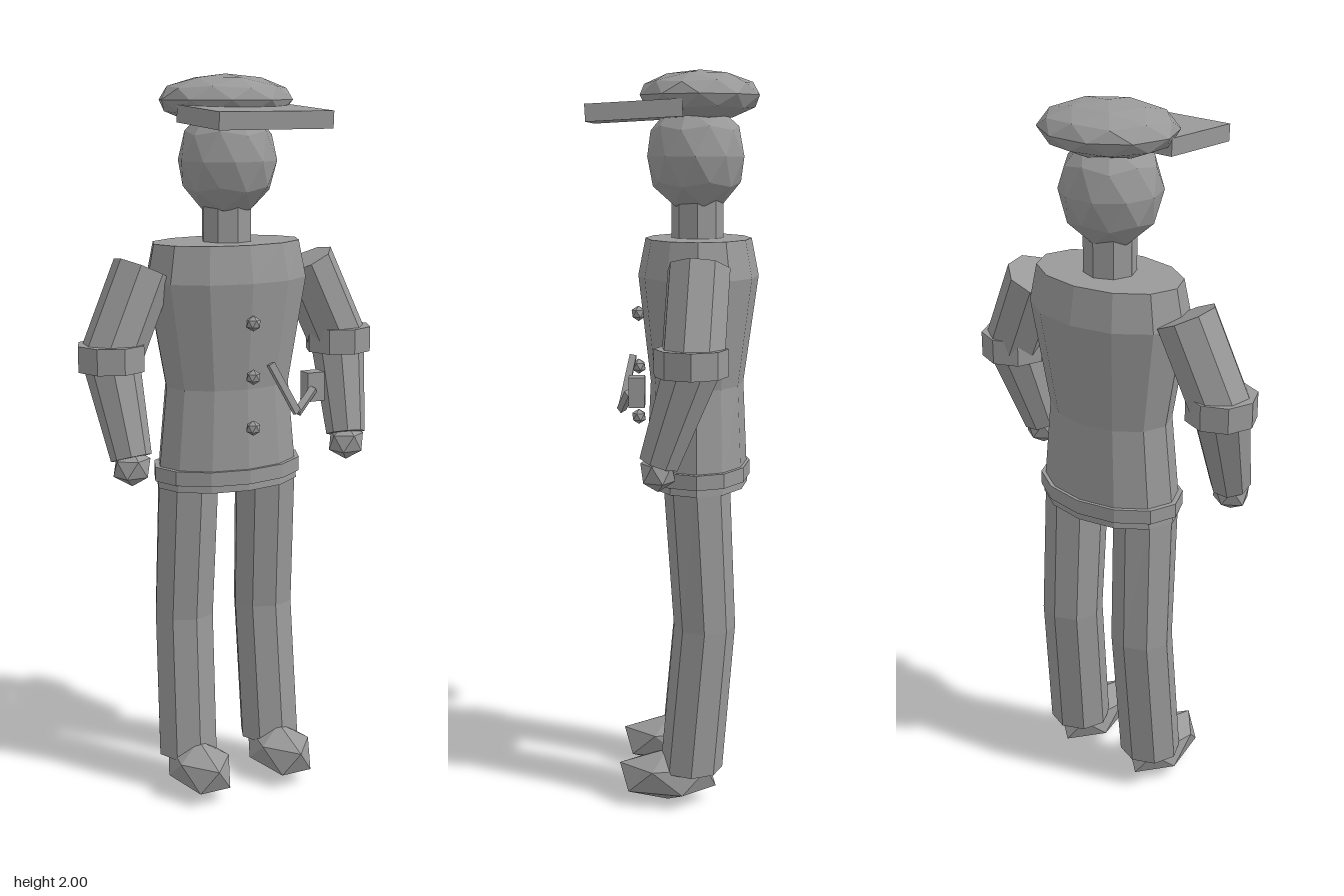
import * as THREE from 'three';

const grey = new THREE.MeshStandardMaterial({ color: 0x999999, flatShading: true });
grey.name = 'plain grey';

function add(parent, name, geometry, x = 0, y = 0, z = 0) {
  const mesh = new THREE.Mesh(geometry, grey);
  mesh.name = name;
  mesh.position.set(x, y, z);
  parent.add(mesh);
  return mesh;
}

// Faceted ball with one vertex at the top and one at the bottom
function ball(rx, ry, rz, detail = 0) {
  return new THREE.IcosahedronGeometry(1, detail)
    .rotateZ(Math.atan(2 / (1 + Math.sqrt(5))))
    .rotateY(Math.PI / 2)
    .scale(rx, ry, rz);
}

// Straight tapered rod from point a to point b
function rod(parent, name, a, b, ra, rb, sides = 8) {
  const from = new THREE.Vector3(...a), to = new THREE.Vector3(...b);
  const dir = to.clone().sub(from);
  const mesh = add(parent, name, new THREE.CylinderGeometry(rb, ra, dir.length(), sides));
  mesh.position.copy(from).add(to).multiplyScalar(0.5);
  mesh.quaternion.setFromUnitVectors(new THREE.Vector3(0, 1, 0), dir.normalize());
  return mesh;
}

// Closed body through horizontal elliptical rings [x, y, z, rx, rz], bottom to top
function loft(rings, sides) {
  const pos = [], index = [];
  for (const [x, y, z, rx, rz] of rings)
    for (let i = 0; i < sides; i++) {
      const a = (i / sides) * Math.PI * 2;
      pos.push(x + Math.sin(a) * rx, y, z + Math.cos(a) * rz);
    }
  const last = (rings.length - 1) * sides;
  for (let r = 0; r < last; r += sides)
    for (let i = 0; i < sides; i++) {
      const j = (i + 1) % sides;
      index.push(r + i, r + j, r + sides + j, r + i, r + sides + j, r + sides + i);
    }
  for (let i = 1; i < sides - 1; i++) {
    index.push(0, i + 1, i);
    index.push(last, last + i, last + i + 1);
  }
  const g = new THREE.BufferGeometry();
  g.setAttribute('position', new THREE.Float32BufferAttribute(pos, 3));
  g.setIndex(index);
  g.computeVertexNormals();
  return g;
}

export function createModel() {
  const model = new THREE.Group();
  model.name = 'uniformedFigure';

  // Jacket with its hem band
  add(model, 'jacket', loft([
    [0, 0.89, -0.06, 0.212, 0.14],
    [0, 1.17, -0.06, 0.183, 0.127],
    [0, 1.46, -0.063, 0.235, 0.163],
    [0, 1.56, -0.063, 0.215, 0.143],
  ], 12));
  add(model, 'hemBand', loft([
    [0, 0.91, -0.06, 0.22, 0.146],
    [0, 0.95, -0.06, 0.22, 0.146],
  ], 12));
  for (const y of [1.07, 1.21, 1.355]) add(model, 'button', ball(0.021, 0.021, 0.021), 0, y, 0.1);

  // Chain hanging to a small pocket case
  add(model, 'pocketCase', new THREE.BoxGeometry(0.052, 0.08, 0.042), 0.184, 1.17, 0.097);
  rod(model, 'chain', [0.045, 1.245, 0.113], [0.112, 1.11, 0.142], 0.013, 0.013, 4);
  rod(model, 'chain', [0.112, 1.11, 0.142], [0.175, 1.165, 0.118], 0.013, 0.013, 4);

  // Head and cap
  add(model, 'neck', new THREE.CylinderGeometry(0.07, 0.07, 0.16, 8), 0, 1.62, -0.06);
  add(model, 'head', ball(0.135, 0.15, 0.135, 1), 0, 1.775, -0.055);
  add(model, 'cap', ball(0.187, 0.067, 0.165, 1), 0, 1.933, -0.065);
  const peak = add(model, 'capPeak', new THREE.BoxGeometry(0.325, 0.045, 0.25), 0, 1.892, 0.103);
  peak.rotation.x = 0.055;

  for (const s of [1, -1]) {
    const side = s > 0 ? 'left' : 'right';

    // Arms
    const arm = new THREE.Group();
    arm.name = side + 'Arm';
    model.add(arm);
    rod(arm, 'upperArm', [s * 0.245, 1.495, -0.065], [s * 0.352, 1.26, -0.05], 0.083, 0.083);
    add(arm, 'cuff', new THREE.CylinderGeometry(0.094, 0.094, 0.07, 8), s * 0.348, 1.27, -0.047);
    rod(arm, 'forearm', [s * 0.348, 1.26, -0.05], [s * 0.33, 1.01, 0.035], 0.076, 0.055);
    add(arm, 'hand', ball(0.056, 0.052, 0.05), s * 0.33, 0.985, 0.038);

    // Legs with a slight bend at the knee
    const leg = new THREE.Group();
    leg.name = side + 'Leg';
    model.add(leg);
    add(leg, 'trouserLeg', loft([
      [s * 0.133, 0.1, -0.048, 0.088, 0.086],
      [s * 0.126, 0.51, -0.083, 0.088, 0.084],
      [s * 0.12, 0.92, -0.06, 0.088, 0.09],
    ], 8));
    add(leg, 'shoe', ball(0.088, 0.075, 0.15), s * 0.13, 0.075, 0.018);
  }
  return model;
}
